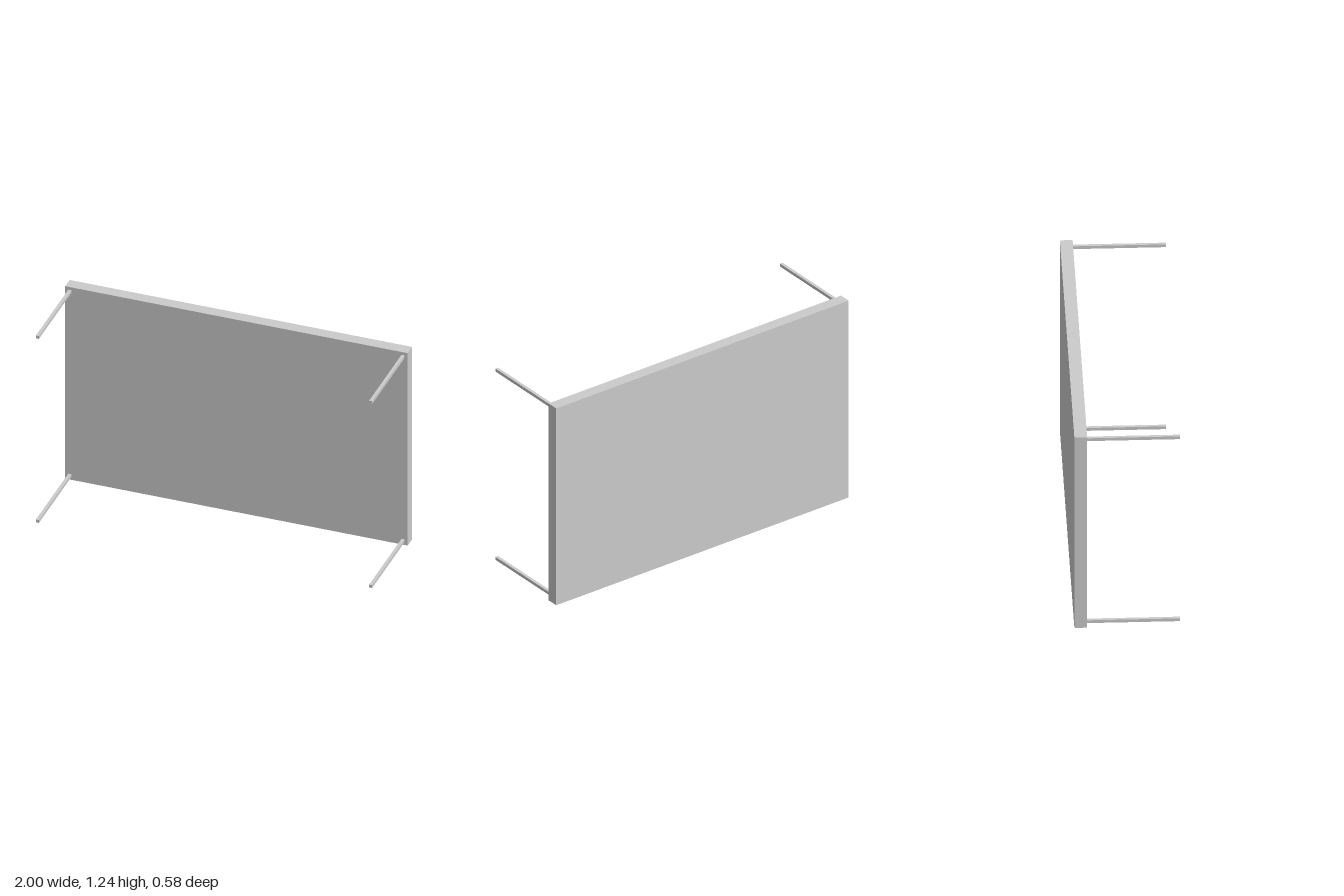
import * as THREE from 'three';

const WIDTH = 2, HEIGHT = 1.238, THICKNESS = 0.07, DEPTH = 0.58;
const LEG = 0.018, INSET = 0.027;

export function createModel() {
  const group = new THREE.Group();
  group.name = 'table';
  const material = new THREE.MeshStandardMaterial({ color: 0xcccccc, flatShading: true });

  const addBox = (name, w, h, d, x, y, z) => {
    const mesh = new THREE.Mesh(new THREE.BoxGeometry(w, h, d), material);
    mesh.name = name;
    mesh.position.set(x, y, z);
    group.add(mesh);
  };

  // Table top, standing on its long edge at the back
  addBox('tableTop', WIDTH, HEIGHT, THICKNESS, 0, HEIGHT / 2, -DEPTH / 2 + THICKNESS / 2);

  // Four thin square legs reaching forward from the corners
  const legLength = DEPTH - THICKNESS;
  for (const side of [-1, 1]) {
    for (const level of [-1, 1]) {
      addBox(
        `${level > 0 ? 'upper' : 'lower'}${side > 0 ? 'Left' : 'Right'}Leg`,
        LEG, LEG, legLength,
        side * (WIDTH / 2 - INSET),
        HEIGHT / 2 + level * (HEIGHT / 2 - INSET),
        DEPTH / 2 - legLength / 2
      );
    }
  }
  return group;
}
